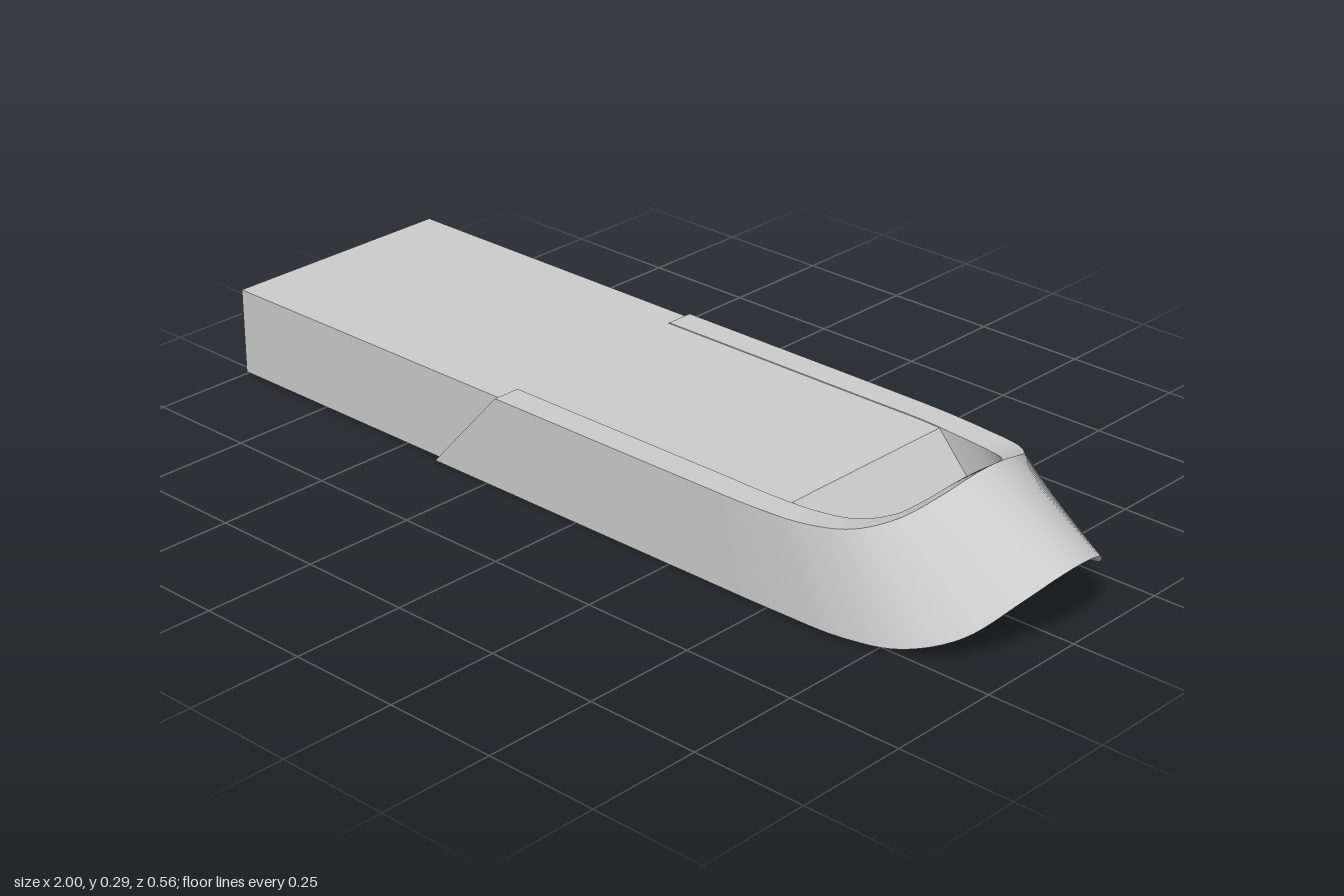
import * as THREE from 'three';
import { toCreasedNormals } from 'three/addons/utils/BufferGeometryUtils.js';

const material = new THREE.MeshStandardMaterial({ color: 0xcccccc, side: THREE.DoubleSide });

function add(parent, name, geometry) {
  const mesh = new THREE.Mesh(geometry, material);
  mesh.name = name;
  parent.add(mesh);
  return mesh;
}

function box(parent, name, [x0, x1], [y0, y1], [z0, z1]) {
  const mesh = add(parent, name, new THREE.BoxGeometry(x1 - x0, y1 - y0, z1 - z0));
  mesh.position.set((x0 + x1) / 2, (y0 + y1) / 2, (z0 + z1) / 2);
  return mesh;
}

// Side outline extruded symmetrically across z
function slab(outline, half) {
  const shape = new THREE.Shape(outline.map(([x, y]) => new THREE.Vector2(x, y)));
  return new THREE.ExtrudeGeometry(shape, { depth: half * 2, bevelEnabled: false }).translate(0, 0, -half);
}

// Half a rail (front arm to nose), mirrored to the rear arm as one smooth curve
function rail(half) {
  const front = half.map((p) => new THREE.Vector3(...p));
  const back = half.slice(0, -1).reverse().map(([x, y, z]) => new THREE.Vector3(x, y, -z));
  return new THREE.CatmullRomCurve3([...front, ...back], false, 'centripetal');
}

// Four rails joined into a closed band with end caps
function loopBand(rails, steps) {
  const pos = [], index = [];
  for (let i = 0; i <= steps; i++) {
    for (const r of rails) pos.push(...r.getPoint(i / steps).toArray());
  }
  for (let i = 0; i < steps; i++) {
    for (let k = 0; k < 4; k++) {
      const a = i * 4 + k, b = a + 4;
      const c = i * 4 + (k + 1) % 4, d = c + 4;
      index.push(a, b, c, b, d, c);
    }
  }
  const e = steps * 4;
  index.push(0, 1, 2, 0, 2, 3, e, e + 2, e + 1, e, e + 3, e + 2);
  const geo = new THREE.BufferGeometry();
  geo.setAttribute('position', new THREE.Float32BufferAttribute(pos, 3));
  geo.setIndex(index);
  return toCreasedNormals(geo, 0.6);
}

export function createModel() {
  const group = new THREE.Group();

  // Body: hollow connector shell, solid middle and sloped end
  const ring = new THREE.Shape();
  ring.moveTo(-0.271, 0.004).lineTo(0.271, 0.004).lineTo(0.271, 0.195).lineTo(-0.271, 0.195).closePath();
  const hole = new THREE.Path();
  hole.moveTo(-0.263, 0.012).lineTo(-0.263, 0.187).lineTo(0.263, 0.187).lineTo(0.263, 0.012).closePath();
  ring.holes.push(hole);
  const shell = new THREE.ExtrudeGeometry(ring, { depth: 0.6, bevelEnabled: false });
  add(group, 'connectorShell', shell.rotateY(Math.PI / 2).translate(-1, 0, 0));
  add(group, 'bodyMiddle', slab([[-0.4, 0.004], [0.3, 0.004], [0.3, 0.195], [-0.4, 0.195]], 0.271));
  add(group, 'bodyEnd', slab([[0.3, 0.004], [0.67, 0.004], [0.67, 0.009], [0.5, 0.195], [0.3, 0.195]], 0.222));

  // Tongue with contacts inside the connector
  const connector = new THREE.Group();
  connector.name = 'connector';
  group.add(connector);
  box(connector, 'tongueBase', [-0.99, -0.4], [0.012, 0.045], [-0.263, 0.263]);
  box(connector, 'tongue', [-0.98, -0.4], [0.06, 0.09], [-0.25, 0.25]);
  for (const z of [-0.18, -0.06, 0.06, 0.18]) {
    box(connector, 'contact', [-0.96, -0.5], [0.09, 0.096], [z - 0.035, z + 0.035]);
    box(connector, 'tongueSupport', [-0.97, -0.4], [0.045, 0.06], [z - 0.04, z + 0.04]);
  }

  // Loop: two arms clasping the body, swept up into a slanted nose
  const outerBottom = rail([[-0.4, 0, 0.282], [0.3, 0, 0.282], [0.52, 0, 0.281], [0.68, 0.002, 0.275],
    [0.8, 0.015, 0.252], [0.9, 0.055, 0.2], [0.967, 0.122, 0.118], [0.992, 0.152, 0.06], [1, 0.162, 0]]);
  const outerTop = rail([[-0.22, 0.197, 0.282], [0.3, 0.197, 0.282], [0.46, 0.197, 0.28], [0.58, 0.199, 0.268],
    [0.67, 0.21, 0.24], [0.73, 0.232, 0.185], [0.768, 0.264, 0.115], [0.78, 0.28, 0.06], [0.783, 0.286, 0]]);
  const innerTop = rail([[-0.22, 0.197, 0.22], [0.3, 0.197, 0.22], [0.46, 0.197, 0.22], [0.56, 0.197, 0.211],
    [0.64, 0.203, 0.193], [0.7, 0.22, 0.155], [0.728, 0.24, 0.1], [0.734, 0.248, 0.05], [0.735, 0.25, 0]]);
  const innerBottom = rail([[-0.4, 0, 0.22], [0.3, 0, 0.22], [0.5, 0, 0.22], [0.64, 0.001, 0.218],
    [0.75, 0.014, 0.208], [0.85, 0.055, 0.18], [0.93, 0.112, 0.11], [0.955, 0.137, 0.055], [0.963, 0.144, 0]]);
  add(group, 'loop', loopBand([outerBottom, outerTop, innerTop, innerBottom], 96));

  return group;
}
